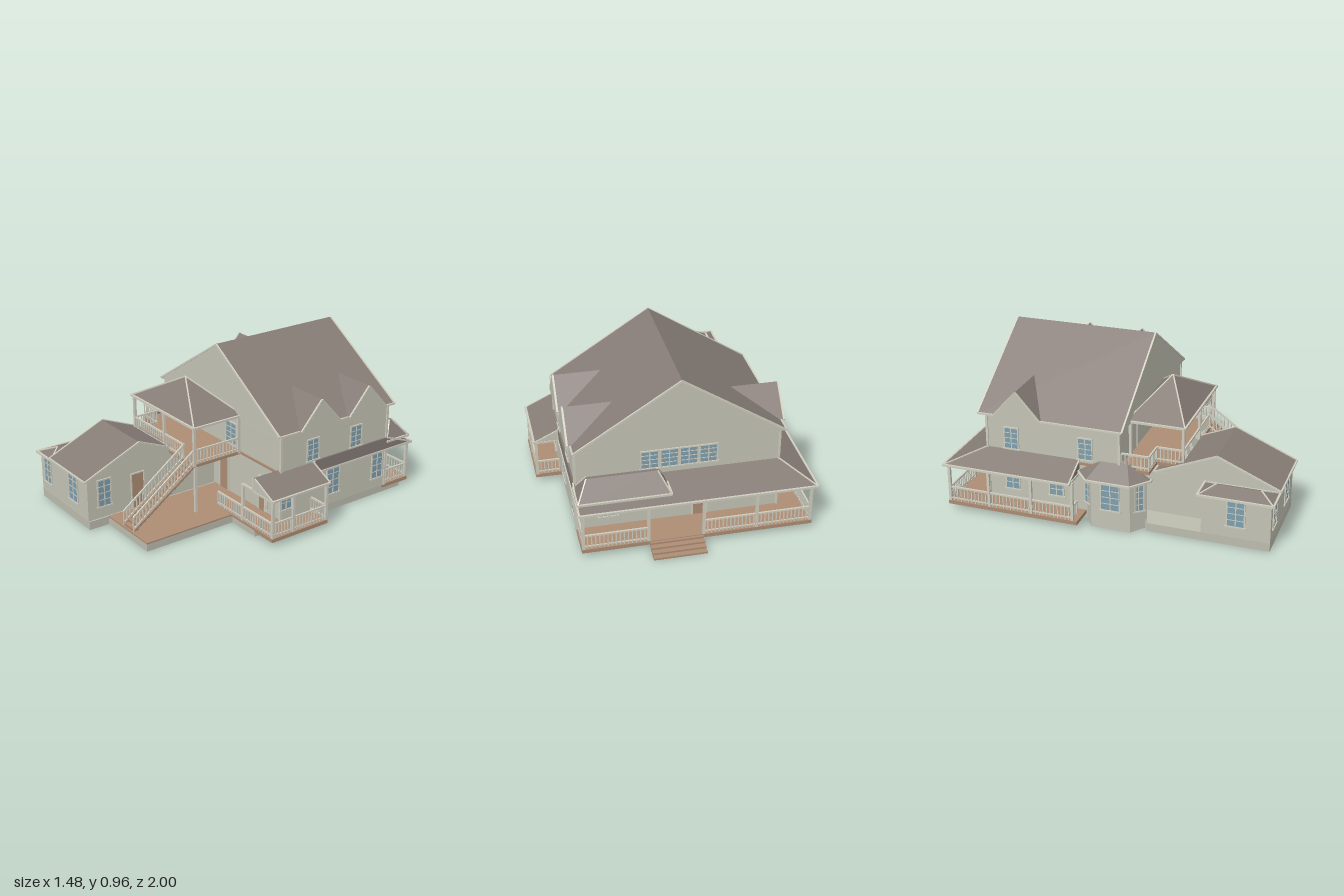
import * as THREE from 'three';
import { ConvexGeometry } from 'three/addons/geometries/ConvexGeometry.js';

const material = (name, color) => {
  const m = new THREE.MeshStandardMaterial({ color });
  m.name = name;
  return m;
};

export function createModel() {
  const house = new THREE.Group();
  house.name = 'house';
  const siding = material('siding', 0xc3c3b5);
  const trim = material('trim', 0xcfcdbf);
  const stone = material('foundation', 0xbcbcae);
  const shingle = material('shingles', 0x867c76);
  const wood = material('wood', 0xad8c74);
  const glass = material('glass', 0x7f9fae);

  const add = (name, geo, mat, parent = house) => {
    const m = new THREE.Mesh(geo, mat);
    m.name = name;
    parent.add(m);
    return m;
  };
  const box = (name, mat, x0, x1, y0, y1, z0, z1, parent) => {
    const m = add(name, new THREE.BoxGeometry(x1 - x0, y1 - y0, z1 - z0), mat, parent);
    m.position.set((x0 + x1) / 2, (y0 + y1) / 2, (z0 + z1) / 2);
    return m;
  };
  const hull = (name, mat, pts) =>
    add(name, new ConvexGeometry(pts.map((p) => new THREE.Vector3(...p))), mat);
  // Square bar between two points
  const bar = (name, mat, a, b, t, parent) => {
    const p = new THREE.Vector3(...a), q = new THREE.Vector3(...b);
    const m = add(name, new THREE.BoxGeometry(t, t, p.distanceTo(q)), mat, parent);
    m.position.copy(p).add(q).multiplyScalar(0.5);
    m.lookAt(q);
    return m;
  };
  // Sloped roof from a base rectangle to a top rectangle, either may be degenerate
  const roof = (name, [x0, x1, z0, z1], y0, [u0, u1, w0, w1], y1, caps = true) => {
    const base = [[x0, y0, z0], [x1, y0, z0], [x1, y0, z1], [x0, y0, z1]];
    const top = [[u0, y1, w0], [u1, y1, w0], [u1, y1, w1], [u0, y1, w1]];
    hull(name, shingle, [...base, ...top]);
    base.forEach((p, i) => {
      bar(name + 'Fascia', trim, p, base[(i + 1) % 4], 0.012);
      if (caps) bar(name + 'Cap', trim, p, top[i], 0.008);
    });
  };
  const rail = (name, a, b, h = 0.085) => {
    const g = new THREE.Group();
    g.name = name;
    house.add(g);
    const at = (t, dy) => [0, 1, 2].map((i) => a[i] + (b[i] - a[i]) * t + (i === 1 ? dy : 0));
    bar('handrail', trim, at(0, h), at(1, h), 0.01, g);
    bar('bottomRail', trim, at(0, 0.015), at(1, 0.015), 0.007, g);
    const n = Math.max(2, Math.round(Math.hypot(b[0] - a[0], b[2] - a[2]) / 0.022));
    for (let i = 0; i <= n; i++) {
      const p = at(i / n, 0);
      box('baluster', trim, p[0] - 0.003, p[0] + 0.003, p[1], p[1] + h, p[2] - 0.003, p[2] + 0.003, g);
    }
  };
  const post = (x, z, y0, y1) => box('post', trim, x - 0.008, x + 0.008, y0, y1, z - 0.008, z + 0.008);
  // Openings are built facing +z, then turned
  const opening = (name, mat, x, y0, y1, z, w, turn) => {
    const g = new THREE.Group(), h = y1 - y0;
    g.name = name;
    g.position.set(x, y0, z);
    g.rotation.y = turn;
    house.add(g);
    box('panel', mat, -w / 2, w / 2, 0, h, 0, 0.003, g);
    for (const s of [-1, 1]) box('jamb', trim, s * w / 2 - 0.004, s * w / 2 + 0.004, 0, h, 0, 0.007, g);
    box('lintel', trim, -w / 2 - 0.004, w / 2 + 0.004, h - 0.004, h + 0.004, 0, 0.007, g);
    return g;
  };
  const win = (x, y0, y1, z, w, turn = 0) => {
    const g = opening('window', glass, x, y0, y1, z, w, turn), h = y1 - y0;
    box('sill', trim, -w / 2 - 0.01, w / 2 + 0.01, -0.006, 0.002, 0, 0.009, g);
    box('mullion', trim, -0.003, 0.003, 0, h, 0, 0.006, g);
    for (const t of [0.25, 0.5, 0.75]) box('bar', trim, -w / 2, w / 2, h * t - 0.002, h * t + 0.002, 0, 0.005, g);
  };
  const door = (x, y0, y1, z, w, turn = 0, mat = wood) => opening('door', mat, x, y0, y1, z, w, turn);
  const R = Math.PI / 2;

  // Foundations
  box('mainFoundation', stone, -0.57, 0.57, 0, 0.05, -0.7, 0.27);
  box('rearFoundation', stone, 0, 0.57, 0, 0.035, -0.84, -0.7);
  box('wingFoundation', stone, -0.6, -0.05, 0, 0.05, 0.27, 0.975);
  box('terraceBase', stone, -0.05, 0.355, 0, 0.044, 0.27, 0.85);
  box('terrace', wood, -0.05, 0.355, 0.044, 0.052, 0.1, 0.85);

  // Main house
  box('mainWalls', siding, -0.57, 0.58, 0.05, 0.575, -0.7, 0.1);
  box('floorBand', wood, -0.577, 0.587, 0.336, 0.35, -0.707, 0.107);
  for (const x of [-0.57, 0.58]) for (const z of [-0.7, 0.1])
    box('cornerBoard', trim, x - 0.007, x + 0.007, 0.05, 0.57, z - 0.007, z + 0.007);
  box('soffit', trim, -0.59, 0.59, 0.566, 0.574, -0.74, 0.12);
  hull('mainRoof', shingle, [-0.74, 0.118].flatMap((z) => [[-0.592, 0.572, z], [0.592, 0.572, z], [0, 0.955, z]]));
  for (const [z, d] of [[-0.74, -0.004], [0.118, 0.004]]) {
    hull('gable', siding, [z, z + d].flatMap((k) => [[-0.59, 0.57, k], [0.59, 0.57, k], [0, 0.952, k]]));
    for (const s of [-1, 1]) bar('rakeBoard', trim, [s * 0.592, 0.572, z + d], [0, 0.951, z + d], 0.01);
  }
  for (const s of [-1, 1]) bar('eaveBoard', trim, [s * 0.592, 0.572, -0.745], [s * 0.592, 0.572, 0.122], 0.01);

  // Dormers
  for (const [s, c] of [[1, -0.52], [1, -0.165], [-1, -0.5]]) {
    const x = s * 0.608, e = s * 0.614;
    hull('dormerRoof', shingle, [[x, 0.575, c - 0.143], [x, 0.575, c + 0.143], [x, 0.738, c],
      [s * 0.58, 0.575, c - 0.143], [s * 0.58, 0.575, c + 0.143], [s * 0.335, 0.738, c]]);
    hull('dormerGable', siding, [x, e].flatMap((k) => [[k, 0.573, c - 0.143], [k, 0.573, c + 0.143], [k, 0.738, c]]));
    for (const d of [-1, 1]) bar('dormerRake', trim, [x, 0.575, c + d * 0.143], [x, 0.735, c], 0.011);
  }

  // Front wing with its gabled roof
  box('wingWalls', siding, -0.455, -0.06, 0.05, 0.3, 0.1, 0.975);
  const wingEnd = (x) => [[x, 0.3, 0.995], [x, 0.305, 0.27], [x, 0.455, 0.63]];
  hull('wingRoof', shingle, [...wingEnd(-0.458), ...wingEnd(-0.055)]);
  for (const [x, d] of [[-0.458, -0.004], [-0.055, 0.004]]) {
    hull('wingGable', siding, [...wingEnd(x), ...wingEnd(x + d)]);
    const [f, b, t] = wingEnd(x + d);
    bar('wingRake', trim, f, t, 0.009);
    bar('wingRake', trim, b, t, 0.009);
  }
  bar('wingEave', trim, [-0.46, 0.3, 0.995], [-0.05, 0.3, 0.995], 0.01);
  // Small side room
  box('sideRoom', siding, -0.6, -0.45, 0.05, 0.29, 0.585, 0.975);
  roof('sideRoomRoof', [-0.625, -0.455, 0.565, 0.99], 0.288, [-0.53, -0.53, 0.65, 0.9], 0.325);

  // Left bay
  const bay = [[-0.56, -0.1], [-0.65, -0.04], [-0.65, 0.19], [-0.56, 0.26]];
  hull('bayWalls', siding, [0, 0.31].flatMap((y) => bay.map(([x, z]) => [x, y, z])));
  const eave = [[-0.56, 0.3, -0.14], [-0.59, 0.3, -0.14], [-0.685, 0.3, -0.06], [-0.685, 0.3, 0.2], [-0.58, 0.3, 0.285], [-0.56, 0.3, 0.285]];
  hull('bayRoof', shingle, [...eave, [-0.55, 0.388, 0], [-0.55, 0.388, 0.14]]);
  eave.slice(1).forEach((p, i) => bar('bayFascia', trim, eave[i], p, 0.012));
  win(-0.65, 0.12, 0.28, 0.075, 0.11, -R);
  win(-0.605, 0.12, 0.28, 0.225, 0.06, -0.91);
  win(-0.605, 0.12, 0.28, -0.07, 0.06, -2.16);

  // Wraparound rear porch
  box('rearDeck', wood, -0.72, 0.58, 0.03, 0.052, -0.895, -0.69);
  box('leftDeck', wood, -0.72, -0.56, 0.03, 0.052, -0.7, -0.1);
  roof('porchRoof', [-0.738, 0.59, -0.908, -0.138], 0.285, [-0.57, 0.59, -0.7, -0.138], 0.362);
  roof('raisedPorchRoof', [0.08, 0.59, -0.878, -0.7], 0.335, [0.14, 0.53, -0.79, -0.77], 0.44);
  for (const x of [-0.71, -0.4, -0.1, 0.21, 0.57]) post(x, -0.885, 0.05, 0.285);
  for (const z of [-0.64, -0.38, -0.13]) post(-0.71, z, 0.05, 0.285);
  rail('rearRail', [-0.71, 0.052, -0.885], [-0.1, 0.052, -0.885]);
  rail('rearRail', [0.21, 0.052, -0.885], [0.57, 0.052, -0.885]);
  rail('rearEndRail', [0.57, 0.052, -0.885], [0.57, 0.052, -0.705]);
  rail('leftRail', [-0.71, 0.052, -0.885], [-0.71, 0.052, -0.13]);
  rail('leftEndRail', [-0.71, 0.052, -0.13], [-0.64, 0.052, -0.13]);
  for (let i = 0; i < 4; i++)
    box('rearStep', wood, -0.095, 0.205, 0.001 + i * 0.012, 0.012 + i * 0.012, -1 + i * 0.03, -0.955 + i * 0.03);

  // Right porch
  box('sideDeck', wood, 0.57, 0.73, 0.03, 0.052, -0.125, 0.275);
  box('frontDeck', wood, 0.2, 0.6, 0.04, 0.053, 0.1, 0.275);
  roof('sidePorchRoof', [0.555, 0.733, -0.135, 0.275], 0.28, [0.555, 0.57, -0.135, 0.275], 0.358);
  for (const z of [-0.135, 0.275])
    hull('sidePorchGable', siding, [-0.003, 0.003].flatMap((d) => [[0.555, 0.282, z + d], [0.73, 0.282, z + d], [0.555, 0.356, z + d], [0.57, 0.356, z + d]]));
  for (const [x, z] of [[0.45, 0.265], [0.72, 0.265], [0.72, 0.12], [0.72, -0.12]]) post(x, z, 0.05, 0.282);
  bar('porchBeam', trim, [0.45, 0.278, 0.265], [0.72, 0.278, 0.265], 0.012);
  rail('frontDeckRail', [0.21, 0.053, 0.265], [0.72, 0.053, 0.265]);
  rail('sideDeckRail', [0.72, 0.053, 0.265], [0.72, 0.053, -0.12]);
  rail('sideDeckEndRail', [0.72, 0.053, -0.12], [0.59, 0.053, -0.12]);

  // Balcony and its hip roof
  box('balconyFloor', wood, -0.43, 0.21, 0.334, 0.352, 0.1, 0.43);
  box('balconySideFloor', wood, -0.57, -0.43, 0.334, 0.352, 0.1, 0.275);
  roof('balconyRoof', [-0.437, 0.22, 0.095, 0.437], 0.578, [-0.11, -0.11, 0.265, 0.265], 0.755);
  for (const x of [-0.42, -0.1, 0.205]) post(x, 0.425, 0.34, 0.575);
  for (const x of [-0.42, 0.205]) post(x, 0.115, 0.34, 0.575);
  post(0.205, 0.42, 0.05, 0.335);
  rail('balconyRail', [-0.42, 0.352, 0.425], [0.1, 0.352, 0.425]);
  rail('balconyRightRail', [0.205, 0.352, 0.425], [0.205, 0.352, 0.11]);
  rail('balconyLeftRail', [-0.42, 0.352, 0.425], [-0.42, 0.352, 0.27]);
  rail('balconySideRail', [-0.42, 0.352, 0.27], [-0.56, 0.352, 0.27]);
  rail('balconySideRail', [-0.56, 0.352, 0.27], [-0.56, 0.352, 0.11]);

  // Outside stair
  const steps = 16;
  for (let i = 0; i < steps; i++) {
    const z = 0.84 - i * 0.41 / steps, y = 0.052 + (i + 1) * 0.285 / steps;
    box('stairTread', wood, 0.105, 0.2, y - 0.016, y, z - 0.032, z);
  }
  for (const x of [0.102, 0.203]) {
    bar('stringer', wood, [x, 0.06, 0.835], [x, 0.335, 0.435], 0.012);
    rail('stairRail', [x, 0.055, 0.84], [x, 0.352, 0.43]);
  }

  // Front windows and doors
  win(-0.518, 0.12, 0.28, 0.975, 0.08);
  win(-0.217, 0.12, 0.29, 0.975, 0.1);
  win(0.12, 0.37, 0.505, 0.1, 0.1);
  door(-0.318, 0.352, 0.525, 0.1, 0.085, 0, siding);
  door(0.05, 0.052, 0.262, 0.1, 0.085);
  door(0.415, 0.052, 0.265, 0.1, 0.06);
  win(0.457, 0.07, 0.265, 0.1, 0.018);
  // Right windows and wing door
  for (const z of [-0.13, -0.455]) win(0.58, 0.37, 0.5, z, 0.085, R);
  for (const [z, w] of [[-0.288, 0.095], [-0.635, 0.085], [0.06, 0.08]]) win(0.58, 0.115, 0.285, z, w, R);
  win(-0.06, 0.12, 0.285, 0.867, 0.085, R);
  door(-0.06, 0.05, 0.265, 0.645, 0.085, R);
  // Left windows
  for (const z of [-0.55, -0.1]) win(-0.57, 0.37, 0.5, z, 0.085, -R);
  for (const z of [-0.55, -0.28]) win(-0.57, 0.115, 0.275, z, 0.085, -R);
  win(-0.6, 0.12, 0.275, 0.78, 0.1, -R);
  // Rear windows and door
  for (let i = 0; i < 4; i++) win(-0.165 + i * 0.11, 0.4, 0.51, -0.7, 0.1, Math.PI);
  win(0.4, 0.115, 0.275, -0.7, 0.1, Math.PI);
  win(-0.37, 0.16, 0.25, -0.7, 0.1, Math.PI);
  door(-0.12, 0.052, 0.26, -0.7, 0.085, Math.PI);

  return house;
}
